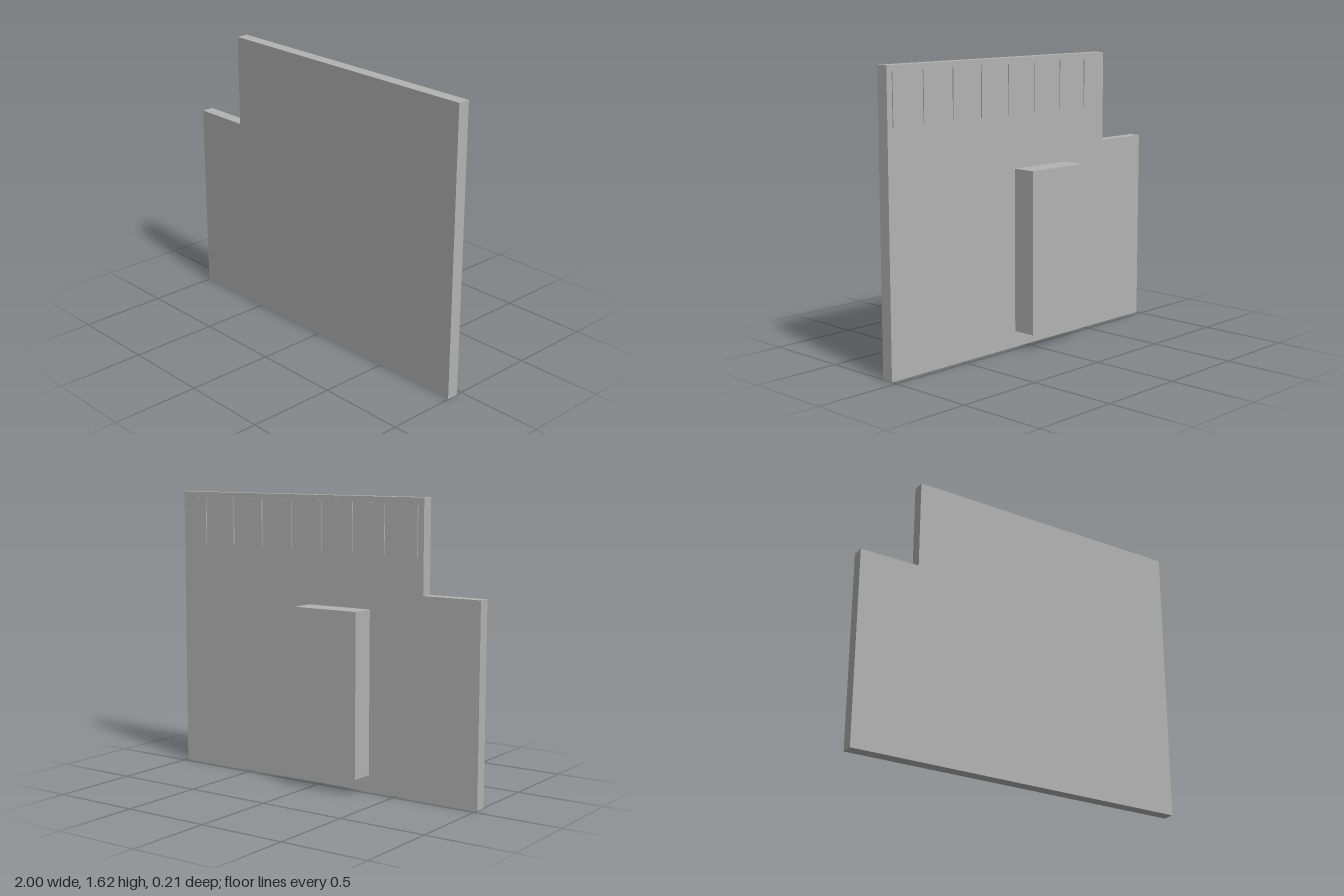
import * as THREE from 'three';

export function createModel() {
  const group = new THREE.Group();
  const grey = new THREE.MeshStandardMaterial({ color: 0xb3b3b3 });
  grey.name = 'grey';

  const FRONT = 0.103, BACK = 0.034; // faces of the board

  // Board: a slab with one upper corner cut away
  const outline = new THREE.Shape([
    [-1, 0], [1, 0], [1, 1.622], [-0.656, 1.622], [-0.656, 1.107], [-1, 1.107],
  ].map(([x, y]) => new THREE.Vector2(x, y)));
  const board = new THREE.Mesh(
    new THREE.ExtrudeGeometry(outline, { depth: FRONT - BACK, bevelEnabled: false }), grey);
  board.position.z = BACK;
  board.name = 'board';
  group.add(board);

  // Adds a block standing out from the back of the board
  function addBackBlock(name, x0, x1, y0, y1, depth) {
    const mesh = new THREE.Mesh(new THREE.BoxGeometry(x1 - x0, y1 - y0, depth), grey);
    mesh.position.set((x0 + x1) / 2, (y0 + y1) / 2, BACK - depth / 2);
    mesh.name = name;
    group.add(mesh);
  }

  // Raised housing
  addBackBlock('housing', -0.32, 0.087, 0.092, 1.012, 0.137);

  // Row of thin contact pads along the top edge
  for (let i = 0; i < 8; i++) {
    const x = -0.62 + i * 0.207;
    addBackBlock(`contactPad${i + 1}`, x, x + 0.137, 1.313, 1.59, 0.006);
  }

  return group;
}
